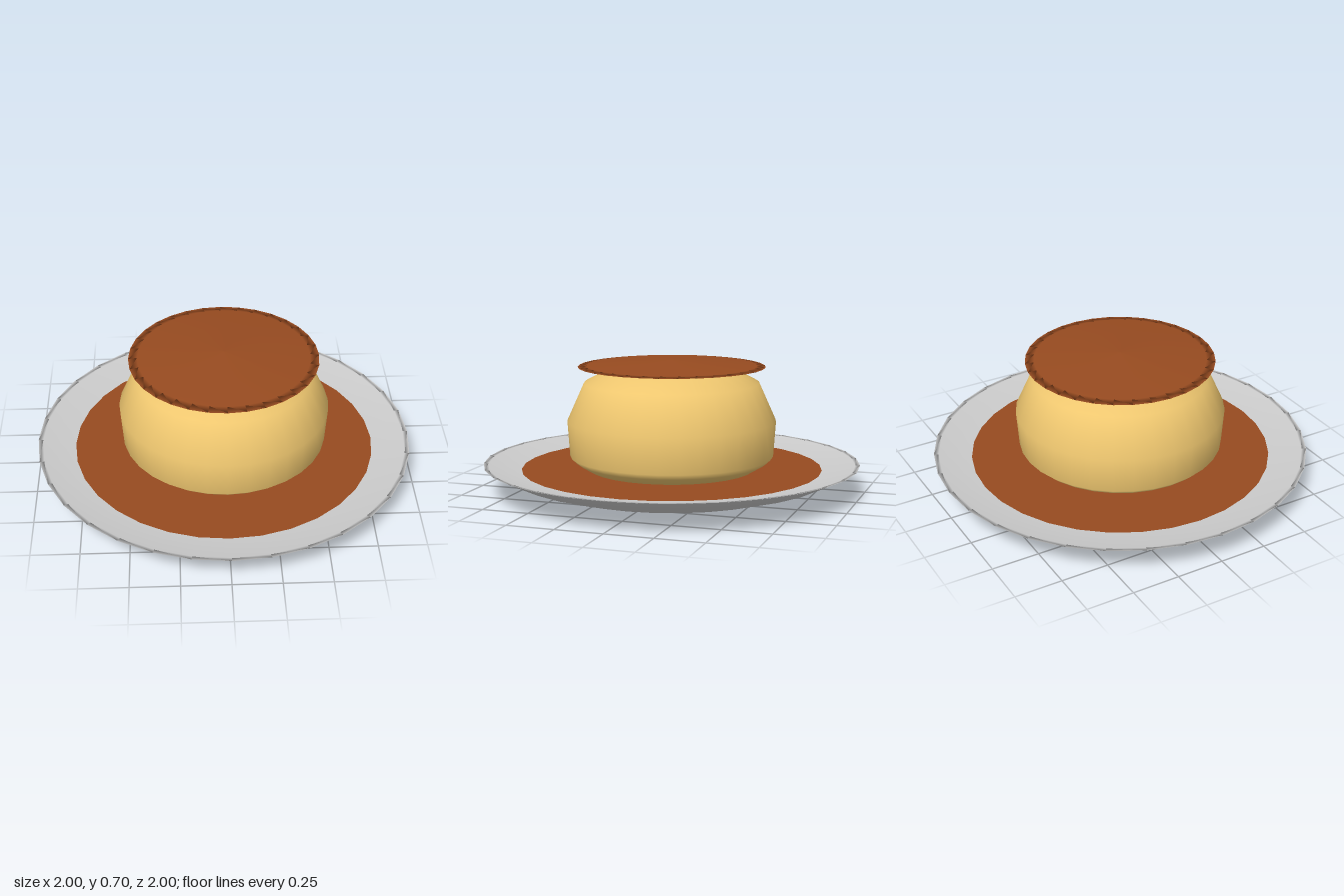
import * as THREE from 'three';

const SEGMENTS = 32;

// Revolve a profile that runs from the underside, round the rim, to the top.
function turned(name, color, profile) {
  const points = profile.map(([r, y]) => new THREE.Vector2(r, y));
  const material = new THREE.MeshStandardMaterial({ color, side: THREE.DoubleSide });
  const mesh = new THREE.Mesh(new THREE.LatheGeometry(points, SEGMENTS), material);
  mesh.name = name;
  return mesh;
}

export function createModel() {
  const group = new THREE.Group();
  group.name = 'puddingOnPlate';

  // Shallow dish with a sloping rim
  group.add(turned('plate', 0xcccccc, [
    [0, 0], [0.48, 0.008], [0.67, 0.03], [0.84, 0.08], [1, 0.155],
    [0.975, 0.153], [0.8, 0.118], [0.6, 0.115], [0, 0.115],
  ]));

  // Pool of caramel in the dish
  group.add(turned('saucePool', 0x974b20, [[0.8, 0.121], [0, 0.121]]));

  // Rounded custard body
  group.add(turned('custard', 0xf0c870, [
    [0, 0.118], [0.44, 0.118], [0.51, 0.16], [0.542, 0.19],
    [0.555, 0.38], [0.465, 0.58], [0.3, 0.668], [0, 0.672],
  ]));

  // Thin caramel cap, slightly domed and overhanging the custard
  group.add(turned('caramelCap', 0x974b20, [
    [0, 0.662], [0.3, 0.664], [0.497, 0.665], [0.45, 0.671], [0.25, 0.686], [0, 0.7],
  ]));

  return group;
}
